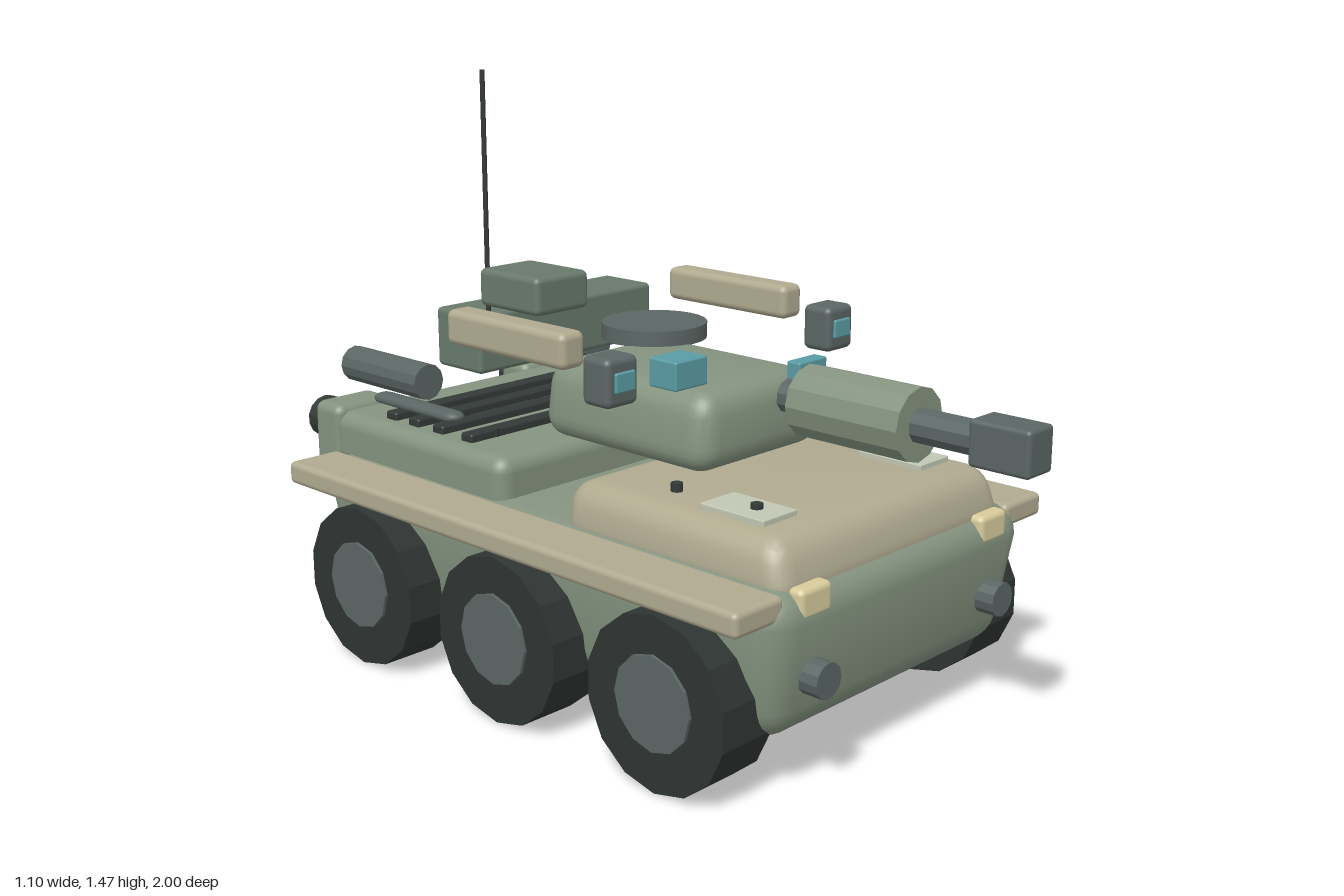
import * as THREE from 'three';
import { RoundedBoxGeometry } from 'three/addons/geometries/RoundedBoxGeometry.js';
import { toCreasedNormals } from 'three/addons/utils/BufferGeometryUtils.js';

const paint = (color) => new THREE.MeshStandardMaterial({ color });
const green = paint(0x84937f);
const darkGreen = paint(0x687a6c);
const tan = paint(0xb0aa90);
const steel = paint(0x5b6664);
const dark = paint(0x343a38);
const rubber = paint(0x2f3533);
const glass = paint(0x5a9ca5);
const cream = paint(0xd8cc9c);
const plate = paint(0xc2c7b4);

export function createModel() {
  const model = new THREE.Group();

  const add = (name, geometry, material, x = 0, y = 0, z = 0) => {
    const mesh = new THREE.Mesh(geometry, material);
    mesh.name = name;
    mesh.position.set(x, y, z);
    model.add(mesh);
    return mesh;
  };

  // Rounded box given by its limits on each axis; taper(p, t) reshapes it, t = 0 bottom to 1 top
  const box = (name, material, [x0, x1], [y0, y1], [z0, z1], r = 0.012, taper) => {
    const h = y1 - y0;
    let geometry = new RoundedBoxGeometry(x1 - x0, h, z1 - z0, 3, r);
    if (taper) {
      const pos = geometry.attributes.position;
      const p = new THREE.Vector3();
      for (let i = 0; i < pos.count; i++) {
        p.fromBufferAttribute(pos, i);
        taper(p, p.y / h + 0.5);
        pos.setXYZ(i, p.x, p.y, p.z);
      }
      geometry = toCreasedNormals(geometry, 0.6);
    }
    return add(name, geometry, material, (x0 + x1) / 2, (y0 + y1) / 2, (z0 + z1) / 2);
  };

  // Faceted cylinder along an axis, centred at x, y, z
  const cylinder = (name, material, axis, r, length, sides, x, y, z) => {
    const geometry = new THREE.CylinderGeometry(r, r, length, sides);
    if (axis === 'x') geometry.rotateZ(Math.PI / 2);
    if (axis === 'z') geometry.rotateX(Math.PI / 2);
    return add(name, toCreasedNormals(geometry, 0.3), material, x, y, z);
  };

  // Hull and decks
  box('hull', green, [-0.455, 0.455], [0.13, 0.48], [-0.86, 0.69], 0.075, (p, t) => {
    const k = Math.min(1, t / 0.7);
    p.x *= 0.93 + 0.07 * k;
    p.z *= 0.945 + 0.055 * k;
  });
  box('frontDeck', tan, [-0.41, 0.41], [0.43, 0.575], [0, 0.67], 0.055, (p, t) => {
    p.x *= 1 - 0.06 * t;
    if (p.z > 0) p.z *= 1 - 0.12 * t;
  });
  box('rearDeck', green, [-0.405, 0.405], [0.44, 0.58], [-0.865, -0.2], 0.04);

  // Turret and what sits on it
  box('turret', green, [-0.22, 0.22], [0.59, 0.78], [-0.28, 0.27], 0.06, (p, t) => {
    p.x *= 1 - 0.1 * t;
    p.z *= 1 - 0.03 * t;
  });
  box('turretBustle', darkGreen, [-0.295, 0.295], [0.733, 0.88], [-0.56, -0.395]);
  box('bustleBox', darkGreen, [-0.29, -0.122], [0.905, 0.997], [-0.4, -0.19], 0.015);
  cylinder('antenna', dark, 'y', 0.006, 0.585, 6, -0.265, 1.1725, -0.395);
  cylinder('turretHatch', steel, 'y', 0.135, 0.04, 24, 0.165, 0.798, -0.255);
  box('wideSight', glass, [-0.257, -0.153], [0.793, 0.86], [0.14, 0.225], 0.005);
  box('gunSight', glass, [0.104, 0.205], [0.73, 0.805], [0.238, 0.278], 0.005);

  // Gun
  cylinder('gunSleeve', green, 'z', 0.084, 0.305, 12, 0, 0.758, 0.545);
  cylinder('gunBarrel', steel, 'z', 0.04, 0.54, 10, 0, 0.758, 0.6);
  box('muzzle', steel, [-0.045, 0.045], [0.707, 0.81], [0.85, 1], 0.01);

  // Engine grille
  for (const z of [-0.385, -0.495, -0.59, -0.68]) {
    box('grilleSlat', dark, [-0.355, 0.355], [0.57, 0.6], [z - 0.021, z + 0.021], 0.006);
  }

  for (const s of [-1, 1]) {
    const span = (a, b) => (s > 0 ? [a, b] : [-b, -a]);

    // Fenders and wheels
    box('fender', tan, span(0.4, 0.55), [0.418, 0.475], [-0.857, 0.667], 0.014);
    for (const z of [0.42, -0.09, -0.6]) {
      const tyre = cylinder('tyre', rubber, 'x', 0.203, 0.15, 14, s * 0.455, 0.2, z);
      tyre.rotation.x = Math.PI / 14;
      cylinder('hub', steel, 'x', 0.11, 0.14, 12, s * 0.468, 0.205, z);
    }

    // Raised side rails and camera pods
    box('sideRail', tan, span(0.34, 0.413), [0.833, 0.918], [-0.378, 0.028], 0.018);
    box('cameraPod', steel, span(0.328, 0.425), [0.775, 0.887], [0.098, 0.183], 0.016);
    box('cameraLens', glass, span(0.345, 0.405), [0.81, 0.855], [0.16, 0.19], 0.004);

    // Front fittings
    box('headlight', cream, span(0.27, 0.372), [0.41, 0.48], [0.645, 0.688], 0.014);
    cylinder('towPin', steel, 'z', 0.041, 0.08, 12, s * 0.318, 0.278, 0.68);
    box('deckPlate', plate, span(0.22, 0.33), [0.565, 0.588], [0.365, 0.547], 0.003);
    for (const [y, z] of [[0.59, 0.48], [0.585, 0.245], [0.59, -0.375]]) {
      cylinder('bolt', dark, 'y', 0.014, 0.03, 8, s * 0.275, y - 0.005, z);
    }

    // Rear canisters on flattened mounts
    cylinder('canister', steel, 'z', 0.046, 0.305, 12, s * 0.296, 0.681, -0.75);
    const mount = new THREE.CapsuleGeometry(0.03, 0.27, 4, 10).rotateX(Math.PI / 2).scale(1, 0.5, 1);
    add('canisterMount', mount, steel, s * 0.298, 0.61, -0.64);

    // Rear corner boxes with exhaust and lamp
    box('rearCornerBox', green, span(0.23, 0.41), [0.35, 0.595], [-0.94, -0.83], 0.025);
    cylinder('exhaust', dark, 'z', 0.055, 0.08, 14, s * 0.33, 0.527, -0.96);
    const lampX = s * 0.328 + 0.032;
    box('tailLamp', cream, [lampX - 0.04, lampX + 0.04], [0.38, 0.433], [-0.978, -0.925], 0.014);
  }

  return model;
}
